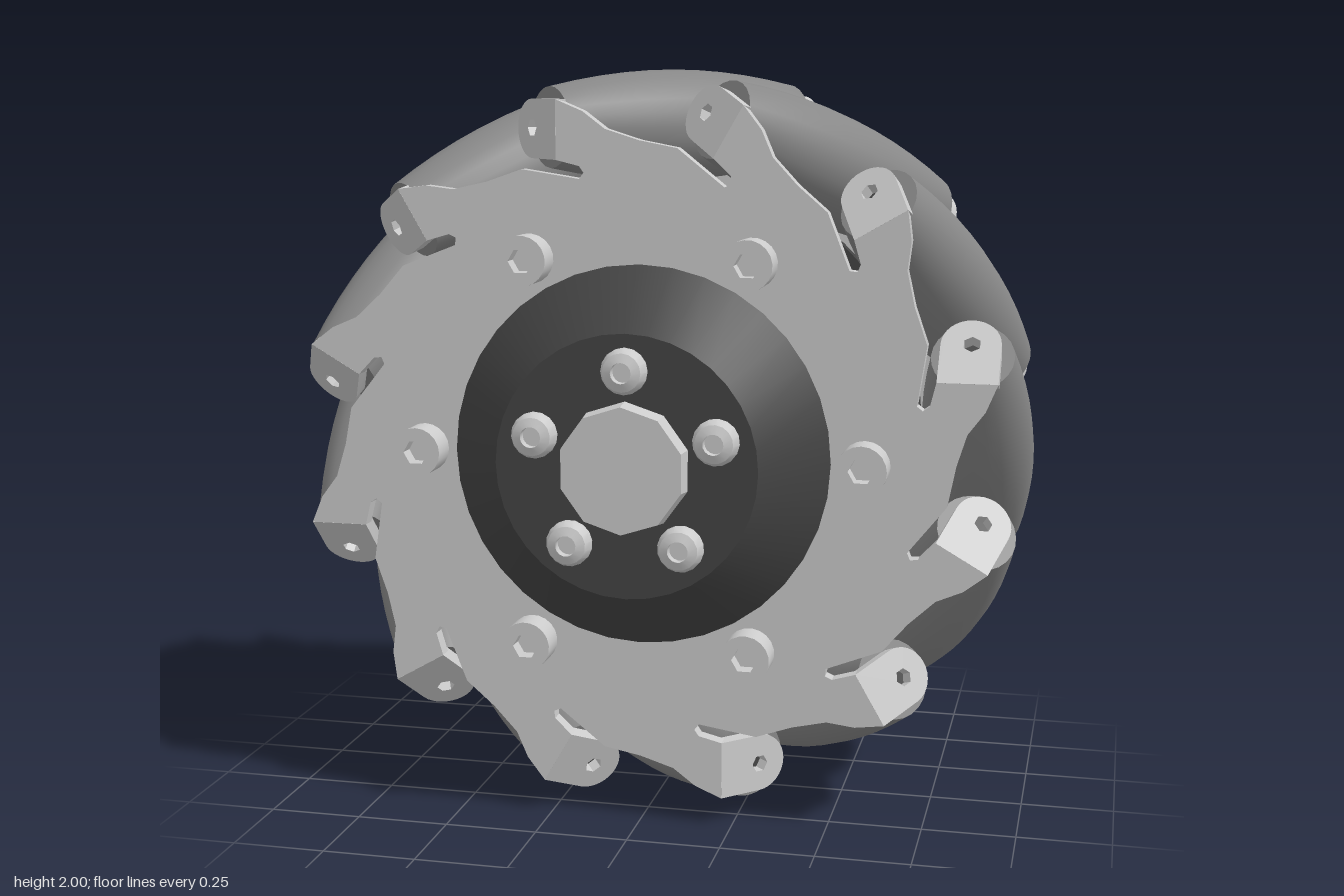
import * as THREE from 'three';
import { toCreasedNormals } from 'three/addons/utils/BufferGeometryUtils.js';

const light = new THREE.MeshStandardMaterial({ color: 0xcccccc });
const rubber = new THREE.MeshStandardMaterial({ color: 0x888888 });
const dark = new THREE.MeshStandardMaterial({ color: 0x444444 });

const COUNT = 12;        // rollers
const MID = -0.06;       // z of the roller centres
const AXIS = 0.85;       // distance of roller axis from the wheel axis
const STEP = (Math.PI * 2) / COUNT;

function mesh(name, geometry, material, crease = 0.5) {
  const m = new THREE.Mesh(toCreasedNormals(geometry, crease), material);
  m.name = name;
  return m;
}

// Lathe about the z axis from [radius, z] pairs
function latheZ(profile, segments) {
  const pts = profile.map(([r, z]) => new THREE.Vector2(r, z));
  return new THREE.LatheGeometry(pts, segments).rotateX(Math.PI / 2);
}

function polygonPath(radius, sides, x = 0, y = 0) {
  const pts = [];
  for (let i = 0; i < sides; i++) {
    const a = (i / sides) * Math.PI * 2;
    pts.push(new THREE.Vector2(x + radius * Math.cos(a), y + radius * Math.sin(a)));
  }
  return new THREE.Path(pts);
}

// Flat saw-toothed ring with one slot and one fold edge per roller
function plateGeometry() {
  const sector = [
    [-0.16, 0.722], [-0.148, 0.738], [-0.16, 0.755], [-0.222, 0.77], [-0.222, 0.925],
    [-0.15, 0.895], [-0.09, 0.85], [0, 0.822], [0.1, 0.803],
  ];
  const pts = [];
  for (let k = 0; k < COUNT; k++) {
    for (const [x, y] of sector) {
      pts.push(new THREE.Vector2(x, y).rotateAround(new THREE.Vector2(), -k * STEP));
    }
  }
  const shape = new THREE.Shape(pts);
  shape.holes.push(polygonPath(0.46, 40));
  return new THREE.ExtrudeGeometry(shape, { depth: 0.04, bevelEnabled: false }).translate(0, 0, 0.3);
}

// Rounded lug folded back 45 degrees, mitred against the plate
function tabGeometry() {
  const r = 0.0775, u = 0.117, y = 0.8475;
  const shape = new THREE.Shape();
  shape.moveTo(0, y - r);
  shape.lineTo(u, y - r);
  shape.absarc(u, y, r, -Math.PI / 2, Math.PI / 2, false);
  shape.lineTo(0, y + r);
  shape.closePath();
  shape.holes.push(polygonPath(0.024, 6, u, AXIS));
  const g = new THREE.ExtrudeGeometry(shape, { depth: 0.04, bevelEnabled: false, curveSegments: 8 });
  g.translate(0, 0, -0.02);
  const p = g.attributes.position;
  for (let i = 0; i < p.count; i++) {
    if (Math.abs(p.getX(i)) < 1e-6) p.setX(i, 0.42 * p.getZ(i));
  }
  const c = Math.SQRT1_2;
  const m = new THREE.Matrix4().makeBasis(
    new THREE.Vector3(-c, 0, -c), new THREE.Vector3(0, 1, 0), new THREE.Vector3(c, 0, -c));
  m.setPosition(-0.214, 0, 0.32);
  return g.applyMatrix4(m);
}

// Barrel whose outer side follows the wheel's rolling circle
function rollerGeometry() {
  const half = 0.385, pts = [new THREE.Vector2(0, -half)];
  for (let i = 0; i <= 10; i++) {
    const s = -half + (2 * half * i) / 10;
    pts.push(new THREE.Vector2(1 - Math.sqrt(AXIS * AXIS + (s * s) / 2), s));
  }
  pts.push(new THREE.Vector2(0, half));
  return new THREE.LatheGeometry(pts, 24);
}

// Socket-head cap screw standing on z = 0
function capScrew() {
  const g = new THREE.Group();
  g.name = 'plateScrew';
  const shape = new THREE.Shape(polygonPath(0.066, 20).getPoints());
  shape.holes.push(polygonPath(0.034, 6));
  g.add(mesh('screwHead', new THREE.ExtrudeGeometry(shape, { depth: 0.08, bevelEnabled: false }), light));
  const floor = mesh('screwSocket', new THREE.CylinderGeometry(0.05, 0.05, 0.03, 12).rotateX(Math.PI / 2), light);
  floor.position.z = 0.02;
  g.add(floor);
  return g;
}

// Domed screw with a hex socket
function buttonScrew() {
  const g = new THREE.Group();
  g.name = 'hubScrew';
  g.add(mesh('buttonHead', latheZ([[0.06, 0], [0.06, 0.015], [0.05, 0.037], [0.027, 0.046], [0.027, 0.02], [0, 0.02]], 16), light));
  return g;
}

function ring(parent, count, radius, start, z, make) {
  for (let i = 0; i < count; i++) {
    const a = start + (i / count) * Math.PI * 2;
    const o = make();
    o.position.set(radius * Math.cos(a), radius * Math.sin(a), z);
    o.rotation.z = a;
    parent.add(o);
  }
}

export function createModel() {
  const root = new THREE.Group();
  root.name = 'omnidirectionalWheel';
  const wheel = new THREE.Group();
  wheel.name = 'wheel';
  wheel.position.y = 1;
  root.add(wheel);

  // Two identical side plates, the back one turned half round
  const plateGeo = plateGeometry(), tabGeo = tabGeometry();
  for (const name of ['frontPlate', 'backPlate']) {
    const side = new THREE.Group();
    side.name = name;
    side.add(mesh('plate', plateGeo, light));
    for (let k = 0; k < COUNT; k++) {
      const tab = mesh('rollerTab', tabGeo, light);
      tab.rotation.z = k * STEP;
      side.add(tab);
    }
    ring(side, 6, 0.593, 0, 0.34, capScrew);
    if (name === 'backPlate') {
      side.rotation.y = Math.PI;
      side.position.z = 2 * MID;
    }
    wheel.add(side);
  }

  // Slanted rollers with their axles
  const rollerGeo = rollerGeometry();
  const axleGeo = new THREE.CylinderGeometry(0.045, 0.045, 0.81, 12);
  const slant = new THREE.Quaternion().setFromUnitVectors(
    new THREE.Vector3(0, 1, 0), new THREE.Vector3(1, 0, -1).normalize());
  for (let k = 0; k < COUNT; k++) {
    const unit = new THREE.Group();
    unit.name = 'rollerUnit';
    unit.rotation.z = k * STEP;
    for (const part of [mesh('roller', rollerGeo, rubber), mesh('axle', axleGeo, dark)]) {
      part.position.set(0, AXIS, MID);
      part.quaternion.copy(slant);
      unit.add(part);
    }
    wheel.add(unit);
  }

  // Hollow hub, open at the back, coned at the front
  wheel.add(mesh('hub', latheZ([
    [0, 0.28], [0.42, 0.28], [0.42, -0.49], [0.44, -0.55], [0.465, -0.55], [0.465, -0.42],
    [0.505, -0.42], [0.505, 0.34], [0.345, 0.5], [0, 0.5],
  ], 36), dark, 0.4));

  // Hub flanges and screw bosses between the plates
  for (const z of [0.28, -0.4]) {
    const flange = mesh('hubFlange', latheZ([[0.48, -0.02], [0.66, -0.02], [0.66, 0.02], [0.48, 0.02]], 36), dark);
    flange.position.z = z;
    wheel.add(flange);
  }
  ring(wheel, 6, 0.58, 0, MID, () =>
    mesh('screwBoss', new THREE.CylinderGeometry(0.075, 0.075, 0.7, 14).rotateX(Math.PI / 2), dark));
  ring(wheel, 6, 0.56, Math.PI / 6, MID, () =>
    mesh('hubRib', new THREE.BoxGeometry(0.16, 0.04, 0.7), dark));

  // Front cap, hub screws and inner coupler
  const cap = mesh('centreCap', new THREE.CylinderGeometry(0.165, 0.175, 0.07, 10).rotateX(Math.PI / 2), light);
  cap.position.z = 0.515;
  wheel.add(cap);
  ring(wheel, 5, 0.25, Math.PI / 2, 0.5, buttonScrew);
  const coupler = mesh('shaftCoupler', new THREE.CylinderGeometry(0.13, 0.13, 0.08, 6).rotateX(Math.PI / 2), dark);
  coupler.position.z = 0.25;
  wheel.add(coupler);

  return root;
}
